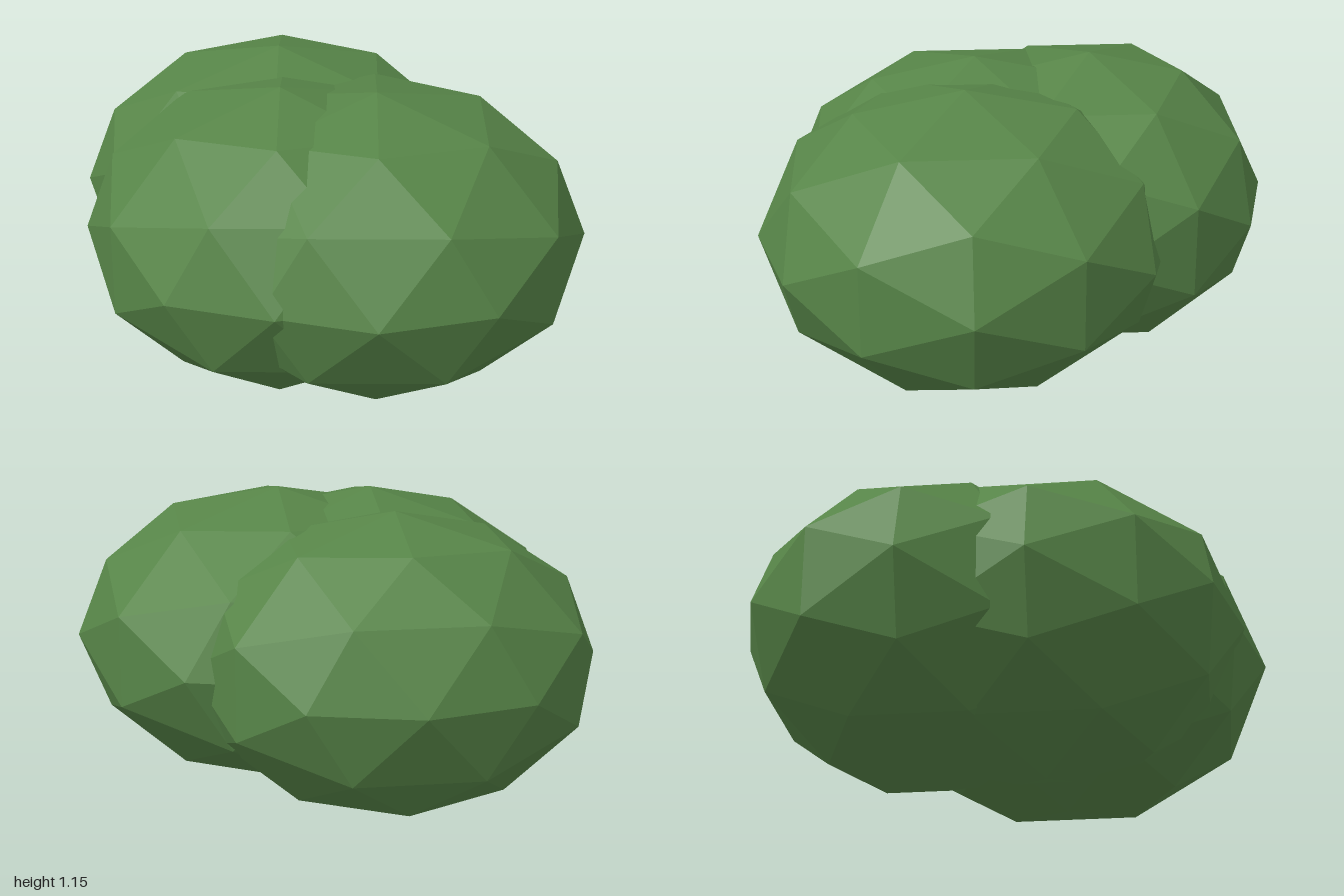
import * as THREE from 'three';

export function createModel() {
  const model = new THREE.Group();
  model.name = 'bush';

  const leafGreen = new THREE.MeshStandardMaterial({ color: 0x578548 });
  leafGreen.name = 'leaf green';
  leafGreen.flatShading = true;

  // Faceted unit ball, turned so its edge midpoints lie on the axes
  const ball = new THREE.IcosahedronGeometry(1, 1).rotateY(Math.PI / 2);

  // Three overlapping, flattened clumps of foliage
  const clumps = [
    { name: 'frontLeftClump', center: [0.18, 0.575, 0.2], radii: [0.8, 0.575, 0.795] },
    { name: 'frontRightClump', center: [-0.18, 0.575, 0.15], radii: [0.75, 0.575, 0.76] },
    { name: 'backClump', center: [-0.2, 0.575, -0.3], radii: [0.78, 0.575, 0.7] },
  ];
  for (const { name, center, radii } of clumps) {
    const geometry = ball.clone().scale(...radii);
    geometry.computeVertexNormals();
    const clump = new THREE.Mesh(geometry, leafGreen);
    clump.name = name;
    clump.position.set(...center);
    model.add(clump);
  }
  return model;
}
